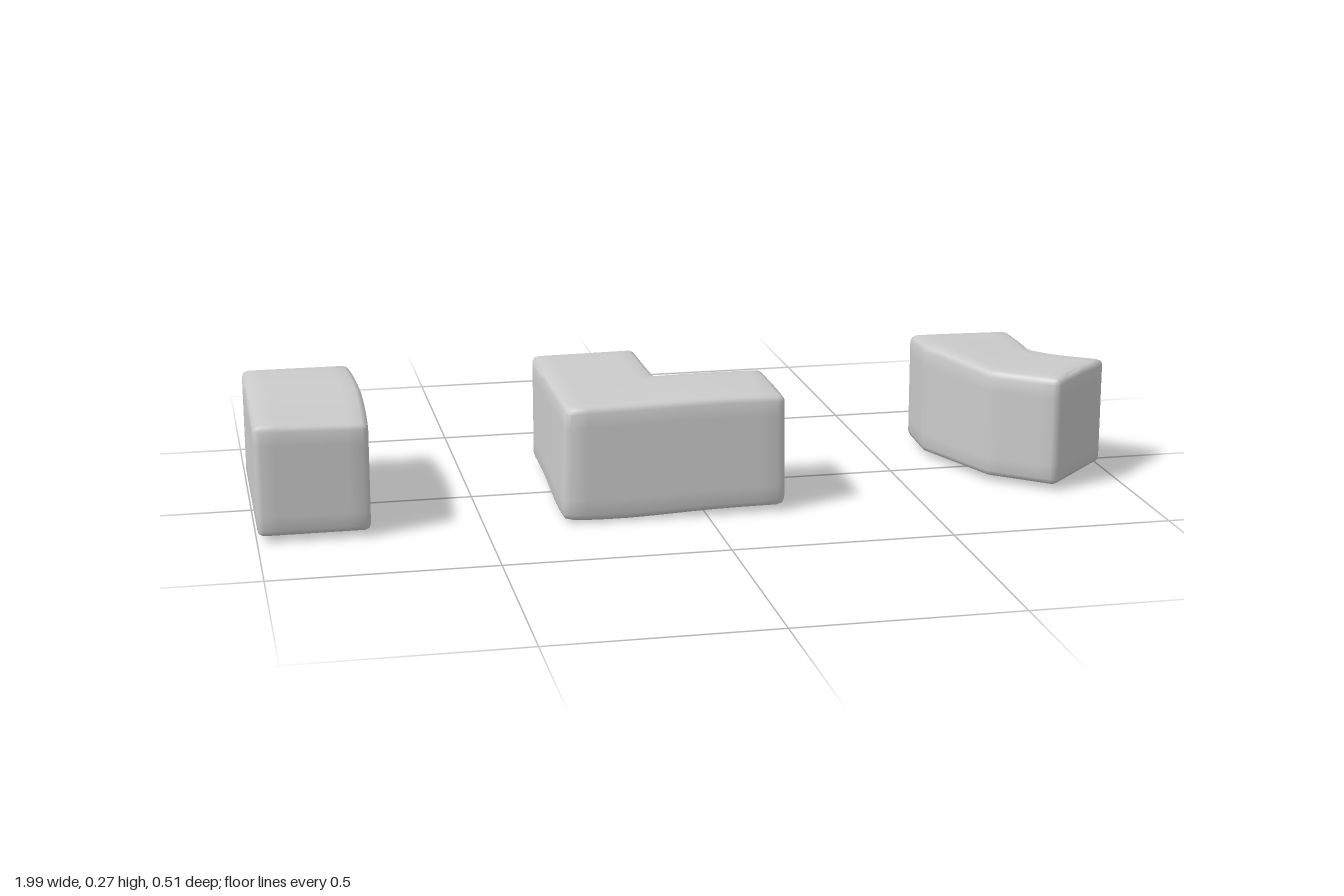
import * as THREE from 'three';
import { mergeVertices, toCreasedNormals } from 'three/addons/utils/BufferGeometryUtils.js';

const R = 0.014, WIDTH = 0.25, BASE = 0.012, HEIGHT = 0.252;

// Grid lines through the given knots, with one extra line at the edge radius
function stations(knots) {
  const end = knots[knots.length - 1];
  const stops = [R, ...knots.slice(1, -1), end - R];
  const out = [0, R];
  for (let i = 1; i < stops.length; i++) {
    const len = stops[i] - stops[i - 1];
    const n = Math.max(1, Math.round(len / 0.03));
    for (let j = 1; j <= n; j++) out.push(stops[i - 1] + (len * j) / n);
  }
  out.push(end);
  return out;
}

// Rounded, subdivided bar swept between two rails of [x, z] points, then gently warped
function block(name, rails, warp) {
  const pairs = rails.map((k) => [new THREE.Vector2(...k[0]), new THREE.Vector2(...k[1])]);
  const mids = pairs.map(([a, b]) => a.clone().add(b).multiplyScalar(0.5));
  const knots = [0];
  for (let i = 1; i < mids.length; i++) knots.push(knots[i - 1] + mids[i].distanceTo(mids[i - 1]));
  const length = knots[knots.length - 1];

  const lines = [stations([0, WIDTH]), stations([0, HEIGHT]), stations(knots)];
  const counts = lines.map((l) => l.length - 1);
  let geometry = new THREE.BoxGeometry(1, 1, 1, ...counts);
  const low = new THREE.Vector3(R, R, R);
  const high = new THREE.Vector3(WIDTH - R, HEIGHT - R, length - R);
  const position = geometry.attributes.position;
  const p = new THREE.Vector3();

  for (let i = 0; i < position.count; i++) {
    p.fromBufferAttribute(position, i);
    p.fromArray(p.toArray().map((c, axis) => lines[axis][Math.round((c + 0.5) * counts[axis])]));

    // Round the edges
    const core = p.clone().clamp(low, high);
    p.sub(core).setLength(R).add(core);

    // Follow the rails
    let k = 1;
    while (k < knots.length - 1 && p.z > knots[k]) k++;
    const t = (p.z - knots[k - 1]) / (knots[k] - knots[k - 1]);
    const left = pairs[k - 1][0].clone().lerp(pairs[k][0], t);
    const right = pairs[k - 1][1].clone().lerp(pairs[k][1], t);
    const spot = left.lerp(right, p.x / WIDTH);

    p.set(spot.x, p.y + BASE, spot.y);
    warp(p, (p.y - BASE) / HEIGHT);
    position.setXYZ(i, p.x, p.y, p.z);
  }
  geometry.deleteAttribute('normal');
  geometry.deleteAttribute('uv');
  geometry = toCreasedNormals(mergeVertices(geometry, 1e-5), 0.9);
  const mesh = new THREE.Mesh(geometry, new THREE.MeshStandardMaterial({ color: 0xcccccc }));
  mesh.name = name;
  return mesh;
}

const bump = (x, z, cx, cz, size) => Math.exp(-((x - cx) ** 2 + (z - cz) ** 2) / size ** 2);

export function createModel() {
  const group = new THREE.Group();
  group.name = 'blockSet';

  // Straight block, bulging on one long side
  group.add(block('straightBlock', [
    [[-0.998, -0.254], [-0.752, -0.254]],
    [[-0.998, 0.247], [-0.752, 0.247]],
  ], (p, v) => {
    const side = (p.x + 0.998) / 0.246;
    p.x += 0.009 * side * Math.cos(p.z * 6) * (0.5 + 0.5 * v);
    p.y += 0.008 * side * v * Math.cos((p.z + 0.06) * 9);
  }));

  // Right-angled block, sagging at the outer corner
  group.add(block('cornerBlock', [
    [[-0.318, -0.254], [-0.07, -0.254]],
    [[-0.318, 0.234], [-0.07, -0.002]],
    [[-0.306, 0.246], [-0.064, 0.004]],
    [[0.181, 0.246], [0.181, -0.002]],
  ], (p, v) => {
    const sag = bump(p.x, p.z, -0.2, 0.15, 0.17);
    p.x -= 0.008 * (1 - v) * bump(p.x, p.z, -0.32, 0.15, 0.2);
    p.z += 0.006 * (1 - v) * THREE.MathUtils.smoothstep(p.z, 0, 0.25);
    p.y += -0.012 * (1 - v) * sag + 0.008 * v * bump(p.x, p.z, 0.04, 0.15, 0.2);
  }));

  // Block with a half-right-angle bend
  group.add(block('bentBlock', [
    [[0.615, -0.254], [0.864, -0.254]],
    [[0.608, -0.1], [0.864, -0.086]],
    [[0.695, 0.126], [0.871, -0.07]],
    [[0.826, 0.237], [1.002, 0.06]],
  ], (p, v) => {
    p.y += v * (0.011 * bump(p.x, p.z, 0.66, -0.08, 0.13) - 0.006 * bump(p.x, p.z, 0.88, 0.0, 0.1)
      + 0.004 * bump(p.x, p.z, 0.9, 0.16, 0.1));
  }));

  return group;
}
